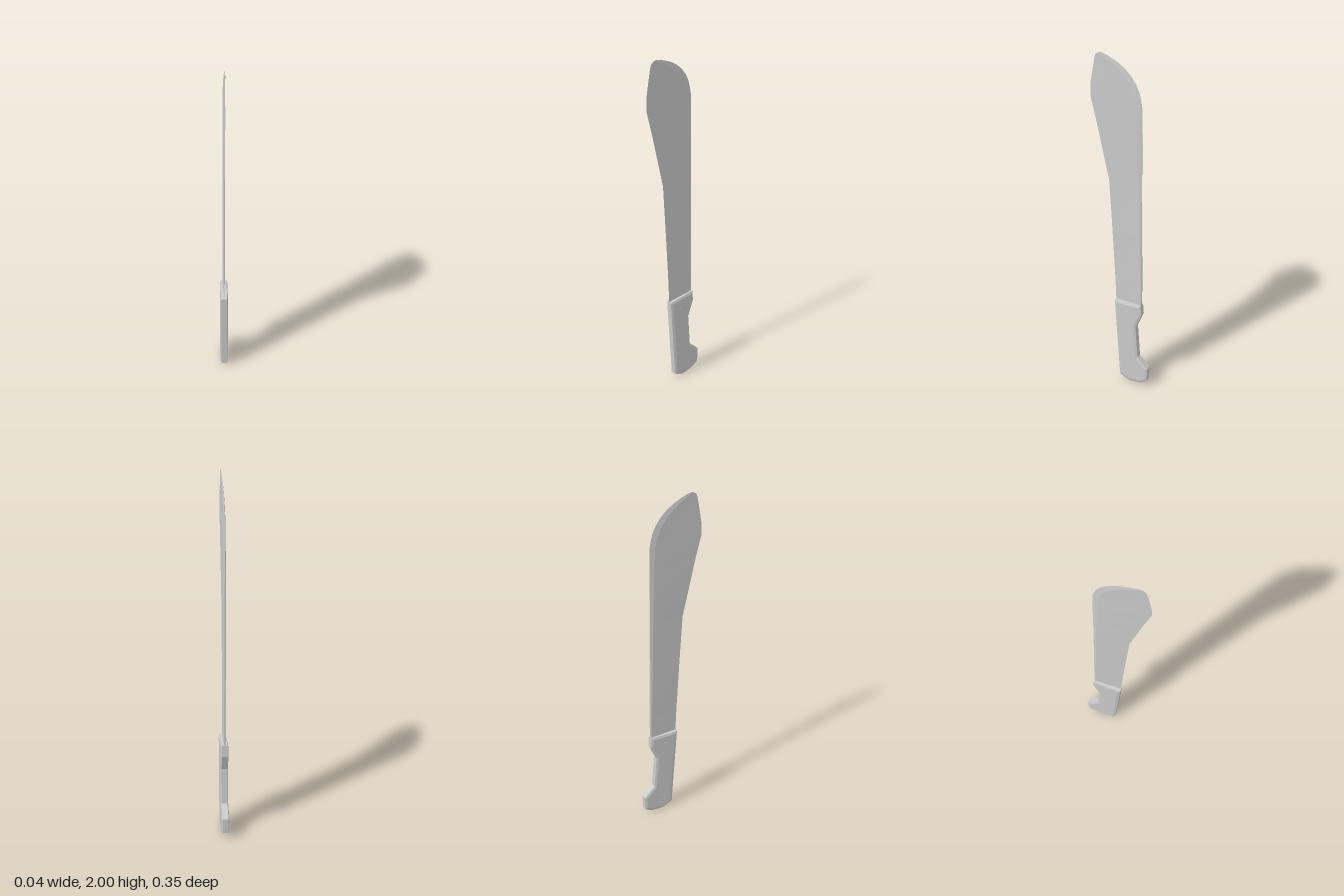
import * as THREE from 'three';

const material = new THREE.MeshStandardMaterial({ color: 0xcccccc, flatShading: true });

function part(name, geometry) {
  const mesh = new THREE.Mesh(geometry, material);
  mesh.name = name;
  return mesh;
}

// Blade: five-sided cross-sections, sharp in front, thickest at a ridge close to the spine
function bladeGeometry() {
  // y, cutting edge z, ridge z, spine z, half width at ridge, half width at spine
  const sections = [
    [0.50, 0.030, -0.120, -0.126, 0.0070, 0.0055],
    [0.70, 0.038, -0.118, -0.126, 0.0070, 0.0050],
    [1.00, 0.054, -0.109, -0.122, 0.0068, 0.0035],
    [1.30, 0.072, -0.103, -0.119, 0.0065, 0.0020],
    [1.46, 0.107, -0.098, -0.118, 0.0063, 0.0015],
    [1.62, 0.142, -0.093, -0.117, 0.0060, 0.0010],
    [1.755, 0.175, -0.087, -0.115, 0.0058, 0.0006],
    [1.80, 0.174, -0.077, -0.107, 0.0056, 0.0005],
    [1.835, 0.171, -0.063, -0.097, 0.0054, 0.0005],
    [1.87, 0.165, -0.044, -0.081, 0.0051, 0.0005],
    [1.91, 0.158, -0.012, -0.052, 0.0046, 0.0005],
    [1.94, 0.153, 0.022, -0.020, 0.0040, 0.0005],
    [1.965, 0.148, 0.060, 0.018, 0.0032, 0.0005],
    [1.985, 0.142, 0.096, 0.062, 0.0020, 0.0005],
    [1.995, 0.128, 0.110, 0.090, 0.0010, 0.0005],
    [2.00, 0.117, 0.115, 0.112, 0.0005, 0.0003],
  ];
  const positions = [];
  const index = [];
  const n = 5;
  for (const [y, edge, ridge, spine, w, t] of sections) {
    positions.push(0, y, edge, w, y, ridge, t, y, spine, -t, y, spine, -w, y, ridge);
  }
  for (let i = 0; i < sections.length - 1; i++) {
    for (let j = 0; j < n; j++) {
      const a = i * n + j;
      const b = i * n + ((j + 1) % n);
      index.push(a, b, b + n, a, b + n, a + n);
    }
  }
  // End caps
  const top = (sections.length - 1) * n;
  for (let j = 1; j < n - 1; j++) {
    index.push(0, j + 1, j, top, top + j, top + j + 1);
  }
  const geometry = new THREE.BufferGeometry();
  geometry.setAttribute('position', new THREE.Float32BufferAttribute(positions, 3));
  geometry.setIndex(index);
  const flat = geometry.toNonIndexed();
  flat.computeVertexNormals();
  return flat;
}

// Handle: side outline (z, y) extruded across the width with a chamfer
function handleGeometry() {
  const outline = [
    [0.033, 0.55], [0.0, 0.027], [-0.06, 0.0], [-0.13, 0.01], [-0.172, 0.035],
    [-0.175, 0.125], [-0.112, 0.19], [-0.097, 0.40], [-0.132, 0.495], [-0.127, 0.56],
  ];
  const shape = new THREE.Shape(outline.map(([z, y]) => new THREE.Vector2(z, y)));
  const flatWidth = 0.031;
  const geometry = new THREE.ExtrudeGeometry(shape, {
    depth: flatWidth,
    bevelEnabled: true,
    bevelThickness: 0.005,
    bevelSize: 0.014,
    bevelOffset: -0.014,
    bevelSegments: 1,
  });
  geometry.translate(0, 0, -flatWidth / 2);
  geometry.rotateY(-Math.PI / 2);
  return geometry;
}

export function createModel() {
  const group = new THREE.Group();
  group.name = 'machete';
  group.add(part('blade', bladeGeometry()));
  group.add(part('handle', handleGeometry()));

  // Rivets run through the handle, almost flush with both sides
  const rivetGeometry = new THREE.CylinderGeometry(0.008, 0.008, 0.0425, 10);
  rivetGeometry.rotateZ(Math.PI / 2);
  for (const [y, z] of [[0.49, -0.042], [0.29, -0.045], [0.1, -0.065]]) {
    const rivet = part('rivet', rivetGeometry);
    rivet.position.set(0, y, z);
    group.add(rivet);
  }
  return group;
}
